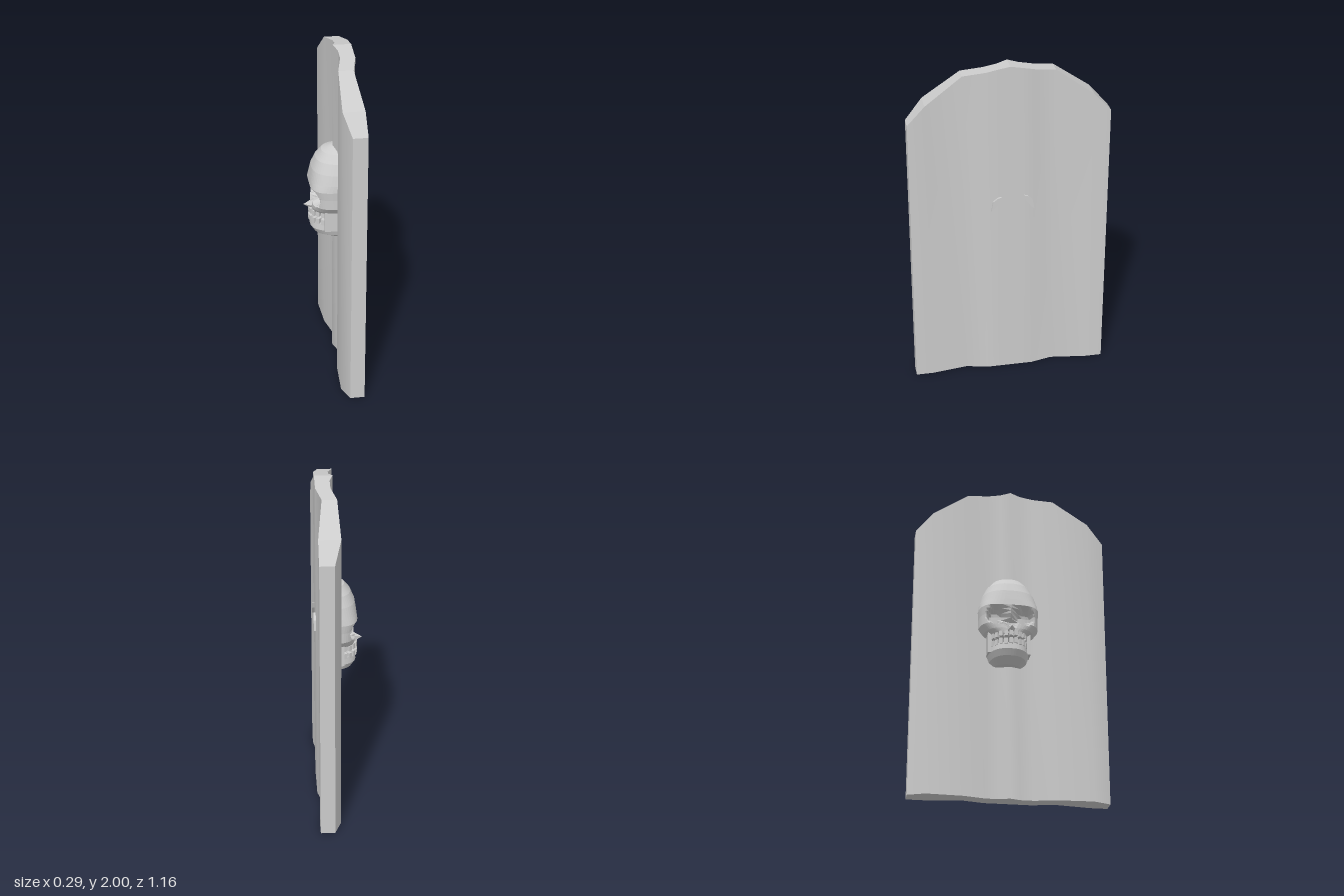
import * as THREE from 'three';

const stone = new THREE.MeshStandardMaterial({ color: 0xcccccc });
const facetedStone = new THREE.MeshStandardMaterial({ color: 0xcccccc, flatShading: true });
const SKULL_Z = -0.015; // the skull's mid-plane
const BACK_X = 0.08;    // skull parts end inside the slab

function addMesh(parent, name, geometry, material = facetedStone) {
  const mesh = new THREE.Mesh(geometry, material);
  mesh.name = name;
  parent.add(mesh);
  return mesh;
}

// Surface through rows of points; rows run downward and columns rightward as seen from outside
function skin(rows) {
  const n = rows[0].length, index = [];
  for (let i = 0; i < rows.length - 1; i++) {
    for (let j = 0; j < n - 1; j++) {
      const a = i * n + j, b = a + n;
      index.push(a, b, b + 1, a, b + 1, a + 1);
    }
  }
  const geometry = new THREE.BufferGeometry();
  geometry.setAttribute('position', new THREE.Float32BufferAttribute(rows.flat(2), 3));
  geometry.setIndex(index);
  geometry.computeVertexNormals();
  return geometry;
}

// Wavy slab with an arched top
function createSlab() {
  const slab = new THREE.Group();
  slab.name = 'slab';
  // z, carved face x, rear face x, height
  const half = [
    [0, 0.025, 0.13, 2], [0.06, 0.045, 0.13, 1.989], [0.14, 0.045, 0.13, 1.974],
    [0.265, 0.015, 0.1, 1.95], [0.48, 0.005, 0.13, 1.8], [0.582, 0.045, 0.13, 1.69],
  ];
  const stations = [...half.slice(1).reverse().map(([z, ...rest]) => [-z, ...rest]), ...half];
  const faceTop = stations.map(([z, f, , h]) => [f, h, z]);
  const rearTop = stations.map(([z, , r, h]) => [r, h, z]);
  const ground = row => row.map(([x, , z]) => [x, 0, z]);
  const rev = row => [...row].reverse();

  addMesh(slab, 'carvedFace', skin([faceTop, ground(faceTop)]), stone);
  addMesh(slab, 'rearFace', skin([rev(rearTop), rev(ground(rearTop))]), stone);
  addMesh(slab, 'archedTop', skin([rearTop, faceTop]));
  addMesh(slab, 'underside', skin([ground(faceTop), ground(rearTop)]));
  const end = stations.length - 1;
  const leftEdge = [faceTop[end], rearTop[end]];
  const rightEdge = [rearTop[0], faceTop[0]];
  addMesh(slab, 'leftEdge', skin([leftEdge, ground(leftEdge)]));
  addMesh(slab, 'rightEdge', skin([rightEdge, ground(rightEdge)]));
  return slab;
}

// Half-shell facing -x, from levels of [y, half width, front x, squareness]
function shell(levels, steps, carve = () => 0) {
  const rows = [], columns = 30;
  const ring = ([y, w, front, power]) => {
    const row = [];
    for (let j = 0; j <= columns; j++) {
      const a = (j / columns - 0.5) * Math.PI;
      const s = Math.sign(a) * Math.abs(Math.sin(a)) ** (2 / power);
      const c = Math.max(0, Math.cos(a)) ** (2 / power);
      const x = BACK_X + (front - BACK_X) * c;
      const dent = c > 0.3 ? carve(s * w, y) : 0;
      row.push([Math.min(BACK_X, x + dent), y, SKULL_Z + s * w]);
    }
    return row;
  };
  const cap = y => [y, 0, BACK_X, 2];
  rows.push(ring(cap(levels[0][0])));
  for (let i = 0; i < levels.length - 1; i++) {
    for (let k = 0; k < steps; k++) {
      rows.push(ring(levels[i].map((v, m) => v + (levels[i + 1][m] - v) * k / steps)));
    }
  }
  const last = levels[levels.length - 1];
  rows.push(ring(last), ring(cap(last[0])));
  return skin(rows);
}

// Hollow with a steep rim and a flat floor
function hollow(z, y, cz, cy, rz, ry, depth) {
  const d = Math.hypot((z - cz) / rz, (y - cy) / ry);
  return depth * THREE.MathUtils.clamp((1 - d) * 2.5, 0, 1);
}

// Row of teeth along the curve of a jaw
function addTeeth(parent, name, y, height) {
  for (let i = -4; i <= 4; i++) {
    const a = i * 0.28;
    const tooth = addMesh(parent, name, new THREE.BoxGeometry(0.03, height, 0.021));
    tooth.position.set(0.01 - 0.112 * Math.cos(a), y + 0.003 * (i % 2), SKULL_Z + 0.098 * Math.sin(a));
    tooth.rotation.y = a;
  }
}

function createSkull() {
  const skull = new THREE.Group();
  skull.name = 'skull';

  const cranium = [
    [1.38, 0.045, 0.02, 2], [1.355, 0.1, -0.04, 2.2], [1.31, 0.135, -0.075, 2.4],
    [1.25, 0.162, -0.1, 2.6], [1.19, 0.177, -0.11, 3], [1.15, 0.182, -0.115, 3.6],
    [1.1, 0.178, -0.102, 3.6], [1.04, 0.178, -0.1, 3.4], [1.005, 0.15, -0.102, 3],
    [0.97, 0.1, -0.1, 2.6],
  ];
  addMesh(skull, 'cranium', shell(cranium, 3, (z, y) =>
    hollow(Math.abs(z), y, 0.083, 1.09, 0.062, 0.06, 0.07) + hollow(z, y, 0, 1.045, 0.035, 0.042, 0.05)));

  // Pointed bone below the nose opening
  const nose = addMesh(skull, 'noseBone', new THREE.ConeGeometry(0.035, 0.06, 5));
  nose.rotation.z = Math.PI / 2;
  nose.position.set(-0.117, 1.0, SKULL_Z);

  addTeeth(skull, 'upperTooth', 0.968, 0.032);
  addTeeth(skull, 'lowerTooth', 0.92, 0.034);
  addMesh(skull, 'jaw', shell([
    [0.91, 0.122, -0.105, 2.4], [0.87, 0.124, -0.108, 2.5], [0.835, 0.112, -0.085, 2.4], [0.81, 0.085, -0.01, 2.2],
  ], 2));

  for (const side of [-1, 1]) {
    const hinge = addMesh(skull, 'jawHinge', new THREE.BoxGeometry(0.1, 0.17, 0.025));
    hinge.position.set(0.015, 0.955, SKULL_Z + side * 0.115);

    // Rim of the eye socket showing through the rear of the slab
    const outline = [[0.068, 1.194], [0.09, 1.188], [0.115, 1.167], [0.127, 1.105], [0.11, 1.12], [0.08, 1.16]];
    const shape = new THREE.Shape(outline.map(([z, y]) => new THREE.Vector2(side * z, y)));
    const rim = new THREE.ExtrudeGeometry(shape, { depth: 0.04, bevelEnabled: false });
    rim.rotateY(-Math.PI / 2);
    addMesh(skull, 'socketRim', rim).position.set(0.143, 0, SKULL_Z);
  }
  return skull;
}

export function createModel() {
  const model = new THREE.Group();
  model.name = 'gravestone';
  model.add(createSlab(), createSkull());
  return model;
}
